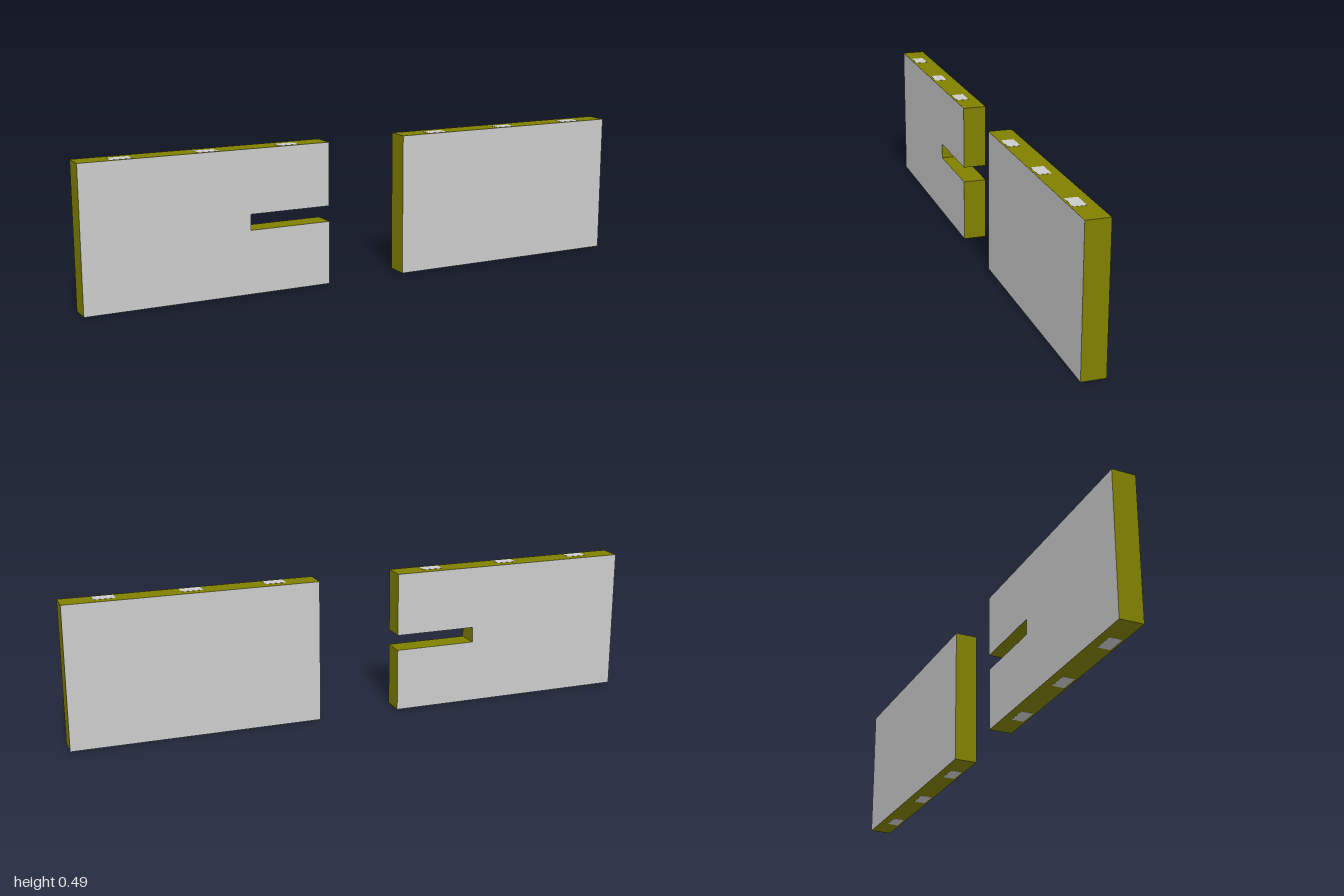
import * as THREE from 'three';

const HEIGHT = 0.49, DEPTH = 0.08, INNER = 0.143, OUTER = 1;
const faceMaterial = new THREE.MeshStandardMaterial({ color: 0xcccccc });
const edgeMaterial = new THREE.MeshStandardMaterial({ color: 0x808000 });

// Slab with grey faces and olive edges, extruded from its front outline
function makeSlab(points) {
  const shape = new THREE.Shape(points.map(([x, y]) => new THREE.Vector2(x, y)));
  const geometry = new THREE.ExtrudeGeometry(shape, { depth: DEPTH, bevelEnabled: false });
  geometry.translate(0, 0, -DEPTH / 2);
  return new THREE.Mesh(geometry, [faceMaterial, edgeMaterial]);
}

// Three small grey inserts, flush with the top and bottom edges
function addInserts(panel, side) {
  const thickness = 0.02, proud = 0.0006;
  for (const x of [0.286, 0.571, 0.857]) {
    for (const [name, y] of [
      ['topInsert', HEIGHT + proud - thickness / 2],
      ['bottomInsert', thickness / 2 - proud],
    ]) {
      const insert = new THREE.Mesh(new THREE.BoxGeometry(0.071, thickness, 0.042), faceMaterial);
      insert.name = name;
      insert.position.set(side * x, y, 0.011);
      panel.add(insert);
    }
  }
}

export function createModel() {
  const model = new THREE.Group();
  model.name = 'panelPair';

  // Plain panel on +x
  const plainPanel = makeSlab([[INNER, 0], [OUTER, 0], [OUTER, HEIGHT], [INNER, HEIGHT]]);
  plainPanel.name = 'plainPanel';
  addInserts(plainPanel, 1);

  // Panel on -x with a horizontal slot open towards the middle
  const slotEnd = -0.43, slotLow = 0.218, slotHigh = 0.272;
  const slottedPanel = makeSlab([
    [-OUTER, 0], [-INNER, 0], [-INNER, slotLow], [slotEnd, slotLow],
    [slotEnd, slotHigh], [-INNER, slotHigh], [-INNER, HEIGHT], [-OUTER, HEIGHT],
  ]);
  slottedPanel.name = 'slottedPanel';
  addInserts(slottedPanel, -1);

  model.add(plainPanel, slottedPanel);
  return model;
}
